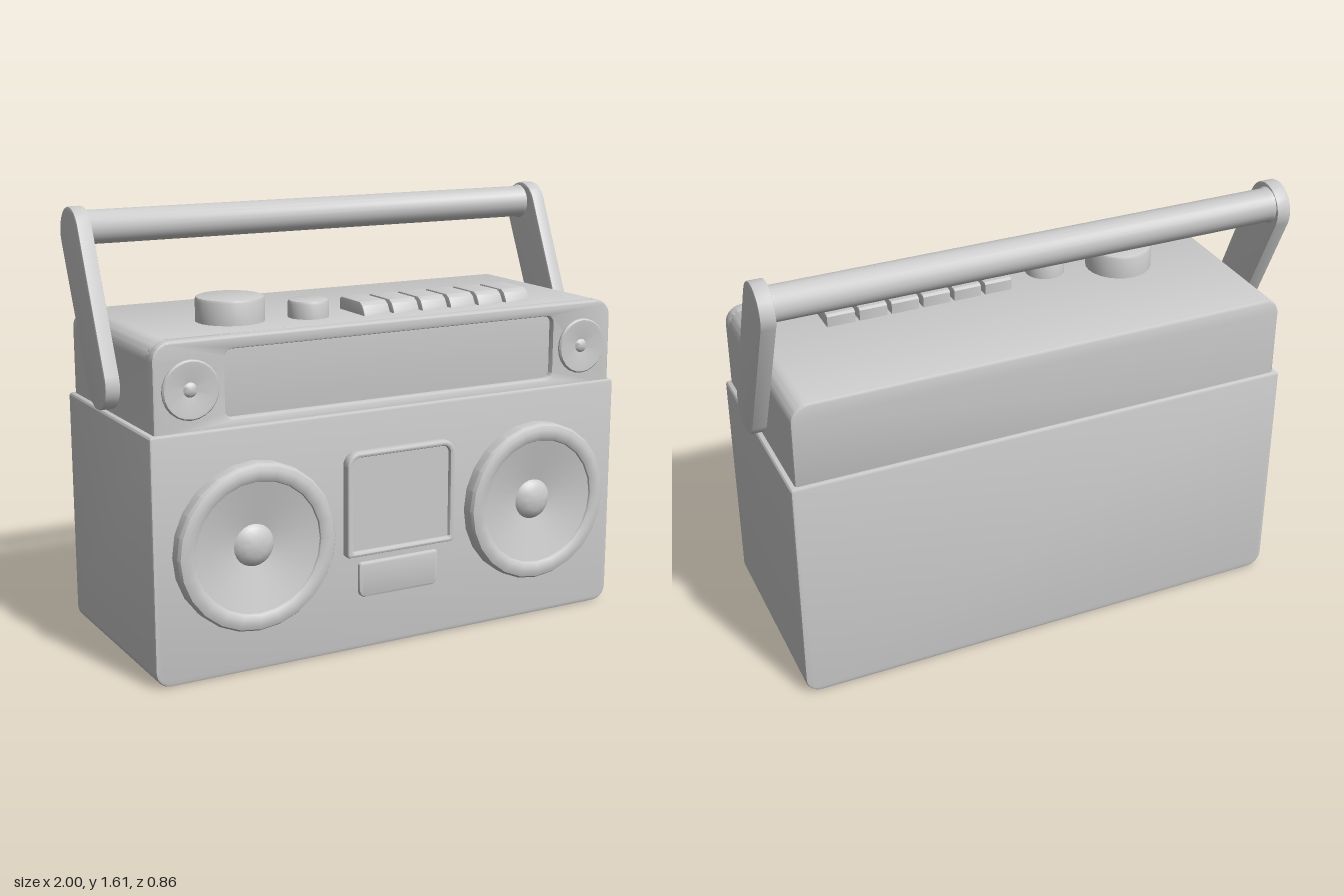
import * as THREE from 'three';
import { toCreasedNormals } from 'three/addons/utils/BufferGeometryUtils.js';

const material = new THREE.MeshStandardMaterial({ color: 0xcccccc });

function add(parent, name, geometry, x = 0, y = 0, z = 0) {
  const mesh = new THREE.Mesh(toCreasedNormals(geometry, 0.6), material);
  mesh.name = name;
  mesh.position.set(x, y, z);
  parent.add(mesh);
  return mesh;
}

// Rectangle outline with separate radii for the bottom and top corners
function roundRect(x0, y0, x1, y1, rb, rt, Type = THREE.Shape) {
  const s = new Type();
  s.moveTo(x0 + rb, y0);
  s.lineTo(x1 - rb, y0);
  if (rb) s.absarc(x1 - rb, y0 + rb, rb, -Math.PI / 2, 0);
  s.lineTo(x1, y1 - rt);
  if (rt) s.absarc(x1 - rt, y1 - rt, rt, 0, Math.PI / 2);
  s.lineTo(x0 + rt, y1);
  if (rt) s.absarc(x0 + rt, y1 - rt, rt, Math.PI / 2, Math.PI);
  s.lineTo(x0, y0 + rb);
  if (rb) s.absarc(x0 + rb, y0 + rb, rb, Math.PI, Math.PI * 1.5);
  return s;
}

// Bevelled extrusion that fills exactly z0..z1 and keeps the outline's size
function slab(shape, z0, z1, bevel) {
  return new THREE.ExtrudeGeometry(shape, {
    depth: z1 - z0 - 2 * bevel, curveSegments: 6,
    bevelEnabled: bevel > 0, bevelSize: bevel, bevelThickness: bevel, bevelOffset: -bevel, bevelSegments: 2,
  }).translate(0, 0, z0 + bevel);
}

const lathe = (points, sides) =>
  new THREE.LatheGeometry(points.map(([r, h]) => new THREE.Vector2(r, h)), sides);

export function createModel() {
  const model = new THREE.Group();

  // Casing: wide lower box, narrower upper box with a sunken tuner panel
  add(model, 'lowerCase', slab(roundRect(-0.965, 0, 0.965, 0.9, 0.06, 0.012), -0.43, 0.37, 0.01));
  const upper = () => roundRect(-0.945, 0.88, 0.945, 1.215, 0, 0.065);
  add(model, 'upperCase', slab(upper(), -0.415, 0.335, 0.01));
  const fascia = upper();
  fascia.holes.push(roundRect(-0.68, 0.93, 0.68, 1.17, 0.03, 0.03, THREE.Path));
  add(model, 'tunerFascia', slab(fascia, 0.3, 0.36, 0.008));

  // Speakers and tweeters, mirrored
  for (const side of [-1, 1]) {
    const label = side > 0 ? 'left' : 'right';
    const woofer = lathe([
      [0.305, 0], [0.305, 0.042], [0.297, 0.054], [0.28, 0.06], [0.258, 0.06], [0.243, 0.052],
      [0.24, 0.046], [0.077, 0.008], [0.066, 0.022], [0.04, 0.034], [0, 0.039],
    ], 24).rotateX(Math.PI / 2);
    add(model, label + 'Speaker', woofer, side * 0.59, 0.47, 0.37);
    const tweeter = lathe([
      [0.105, 0], [0.105, 0.008], [0.1, 0.014], [0.092, 0.014], [0.026, 0.003],
      [0.018, 0.011], [0, 0.015],
    ], 24).rotateX(Math.PI / 2);
    add(model, label + 'Tweeter', tweeter, side * 0.81, 1.045, 0.359);
  }

  // Cassette door frame with a sunken window, and the eject key below it
  const door = roundRect(-0.23, 0.365, 0.225, 0.757, 0.015, 0.05);
  door.holes.push(roundRect(-0.206, 0.386, 0.202, 0.736, 0.008, 0.03, THREE.Path));
  add(model, 'cassetteDoorFrame', slab(door, 0.36, 0.405, 0.01));
  add(model, 'cassetteWindow', slab(roundRect(-0.215, 0.375, 0.21, 0.745, 0.01, 0.04), 0.36, 0.388, 0));
  add(model, 'ejectKey', slab(roundRect(-0.17, 0.2, 0.165, 0.335, 0.03, 0.01), 0.355, 0.385, 0.01));

  // Rotary knobs on top
  const knobs = [['volumeKnob', 0.125, 0.09, -0.53, 0.08], ['toneKnob', 0.075, 0.065, -0.25, 0.145]];
  for (const [name, r, h, x, z] of knobs) {
    const profile = [[r, -0.01], [r, h - 0.012], [r - 0.004, h - 0.003], [r - 0.012, h], [0, h]];
    add(model, name, lathe(profile, 24), x, 1.215, z);
  }

  // Row of piano keys with sloping fronts; section drawn along z, then turned to x
  const key = new THREE.Shape([
    [-0.245, -0.01], [-0.055, -0.01], [-0.055, 0.04], [-0.065, 0.047], [-0.205, 0.047], [-0.225, 0.035], [-0.24, 0.01],
  ].map(([a, b]) => new THREE.Vector2(a, b)));
  for (let i = 0; i < 6; i++) {
    add(model, 'pianoKey' + (i + 1), slab(key, -0.054, 0.054, 0.004).rotateY(Math.PI / 2),
      -0.018 + i * 0.123, 1.215, 0);
  }

  // Carrying handle: two tilted round-ended arms and a grip between them
  const handle = new THREE.Group();
  handle.name = 'handle';
  model.add(handle);
  const arm = new THREE.Shape();
  arm.absarc(0, 0.553, 0.096, 0, Math.PI);
  arm.absarc(0, 0, 0.093, Math.PI, Math.PI * 2);
  for (const side of [-1, 1]) {
    const geometry = slab(arm, -0.028, 0.028, 0.006).rotateZ(-0.419).rotateY(Math.PI / 2);
    add(handle, side > 0 ? 'leftArm' : 'rightArm', geometry, side * 0.972, 1.01, -0.03);
  }
  const grip = lathe([
    [0.068, -0.965], [0.068, -0.945], [0.062, -0.935], [0.062, 0.935], [0.068, 0.945], [0.068, 0.965],
  ], 24).rotateZ(Math.PI / 2);
  add(handle, 'grip', grip, 0, 1.532, -0.272);

  return model;
}
